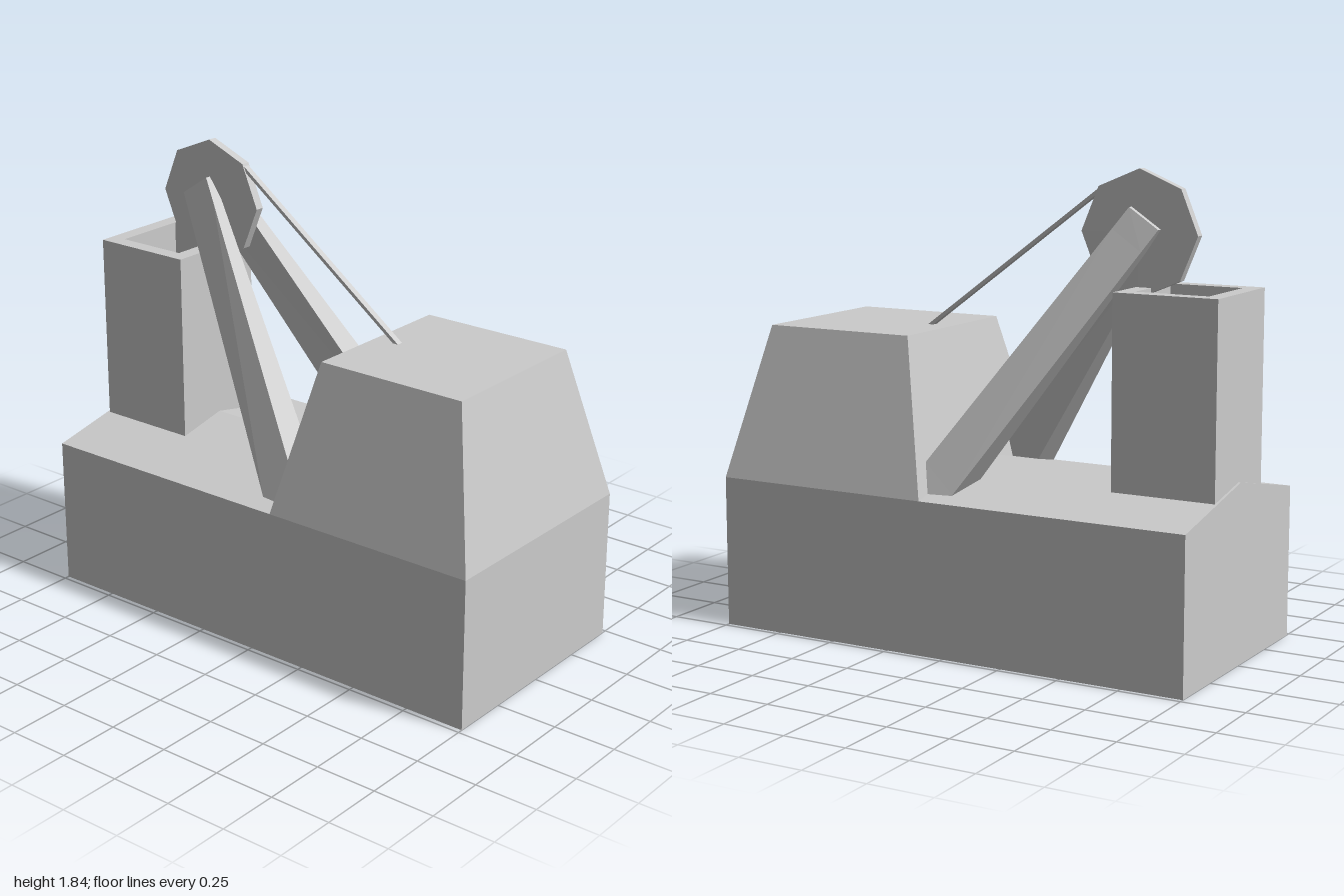
import * as THREE from 'three';

const material = new THREE.MeshStandardMaterial({ color: 0xcccccc, flatShading: true });

function add(parent, name, geometry, x = 0, y = 0, z = 0) {
  const mesh = new THREE.Mesh(geometry, material);
  mesh.name = name;
  mesh.position.set(x, y, z);
  parent.add(mesh);
  return mesh;
}

// Closed solid through four-cornered sections, corners running the same way round
function loft(sections) {
  const index = [];
  const n = sections.length;
  for (let s = 0; s < n - 1; s++) {
    for (let i = 0; i < 4; i++) {
      const a = s * 4 + i, b = s * 4 + (i + 1) % 4;
      index.push(a, b, a + 4, b, b + 4, a + 4);
    }
  }
  const e = (n - 1) * 4;
  index.push(0, 2, 1, 0, 3, 2, e, e + 1, e + 2, e, e + 2, e + 3);
  const geometry = new THREE.BufferGeometry();
  geometry.setAttribute('position', new THREE.Float32BufferAttribute(sections.flat(2), 3));
  geometry.setIndex(index);
  const flat = geometry.toNonIndexed();
  flat.computeVertexNormals();
  return flat;
}

// Leg section at fraction t of its length; each pair is inner x, outer x
function legSection(t, front, back) {
  const zf = -0.56 + 0.69 * t, yf = 1.7 - 0.97 * t;
  const zb = -0.68 + 0.68 * t, yb = 1.62 - t;
  return [
    [front[0], yf, zf], [back[0], yb, zb],
    [back[1], yb, zb], [front[1], yf, zf],
  ];
}

export function createModel() {
  const model = new THREE.Group();
  model.name = 'mineHeadframe';

  // Lower building with a shallow gabled roof behind
  add(model, 'base', new THREE.BoxGeometry(0.96, 0.6, 2), 0, 0.3, 0);
  const gable = new THREE.Shape([
    new THREE.Vector2(-0.48, 0), new THREE.Vector2(0.48, 0), new THREE.Vector2(0, 0.1),
  ]);
  add(model, 'roof', new THREE.ExtrudeGeometry(gable, { depth: 1.12, bevelEnabled: false }), 0, 0.6, -1);

  // Tapered winding house
  const house = new THREE.CylinderGeometry(0.7 * Math.SQRT2, Math.SQRT2, 0.6, 4);
  house.rotateY(Math.PI / 4).scale(0.48, 1, 0.45);
  add(model, 'windingHouse', house, 0, 0.9, 0.55);

  // Hollow square shaft tower
  const wall = new THREE.Shape([
    new THREE.Vector2(-0.21, -0.21), new THREE.Vector2(0.21, -0.21),
    new THREE.Vector2(0.21, 0.21), new THREE.Vector2(-0.21, 0.21),
  ]);
  wall.holes.push(new THREE.Path([
    new THREE.Vector2(-0.15, -0.147), new THREE.Vector2(-0.15, 0.147),
    new THREE.Vector2(0.15, 0.147), new THREE.Vector2(0.15, -0.147),
  ]));
  const tower = new THREE.ExtrudeGeometry(wall, { depth: 0.8, bevelEnabled: false });
  tower.rotateX(-Math.PI / 2);
  add(model, 'shaftTower', tower, 0, 0.6, -0.78);

  // Octagonal wheel and its axle
  const wheel = new THREE.CylinderGeometry(0.24, 0.24, 0.036, 8).rotateZ(Math.PI / 2);
  add(model, 'wheel', wheel, 0, 1.6, -0.58);
  const axle = new THREE.CylinderGeometry(0.055, 0.055, 0.09, 8).rotateZ(Math.PI / 2);
  add(model, 'axle', axle, 0, 1.6, -0.58);

  // Pair of sloping legs, cut flat beside the wheel and sunk into the building
  const leg = loft([
    legSection(0, [0.04, 0.062], [0.04, 0.062]),
    legSection(0.083, [0.04, 0.088], [0.04, 0.09]),
    legSection(1, [0.25, 0.38], [0.235, 0.4]),
    legSection(1.1, [0.273, 0.412], [0.256, 0.434]),
  ]);
  add(model, 'leftLeg', leg);
  add(model, 'rightLeg', leg).scale.x = -1;

  // Cable from the house roof to the rim of the wheel
  const from = new THREE.Vector3(0, 1.19, 0.345);
  const to = new THREE.Vector3(0, 1.758, -0.415);
  const cable = add(model, 'cable', new THREE.BoxGeometry(0.026, 0.014, from.distanceTo(to)));
  cable.position.lerpVectors(from, to, 0.5);
  cable.lookAt(to);

  return model;
}
